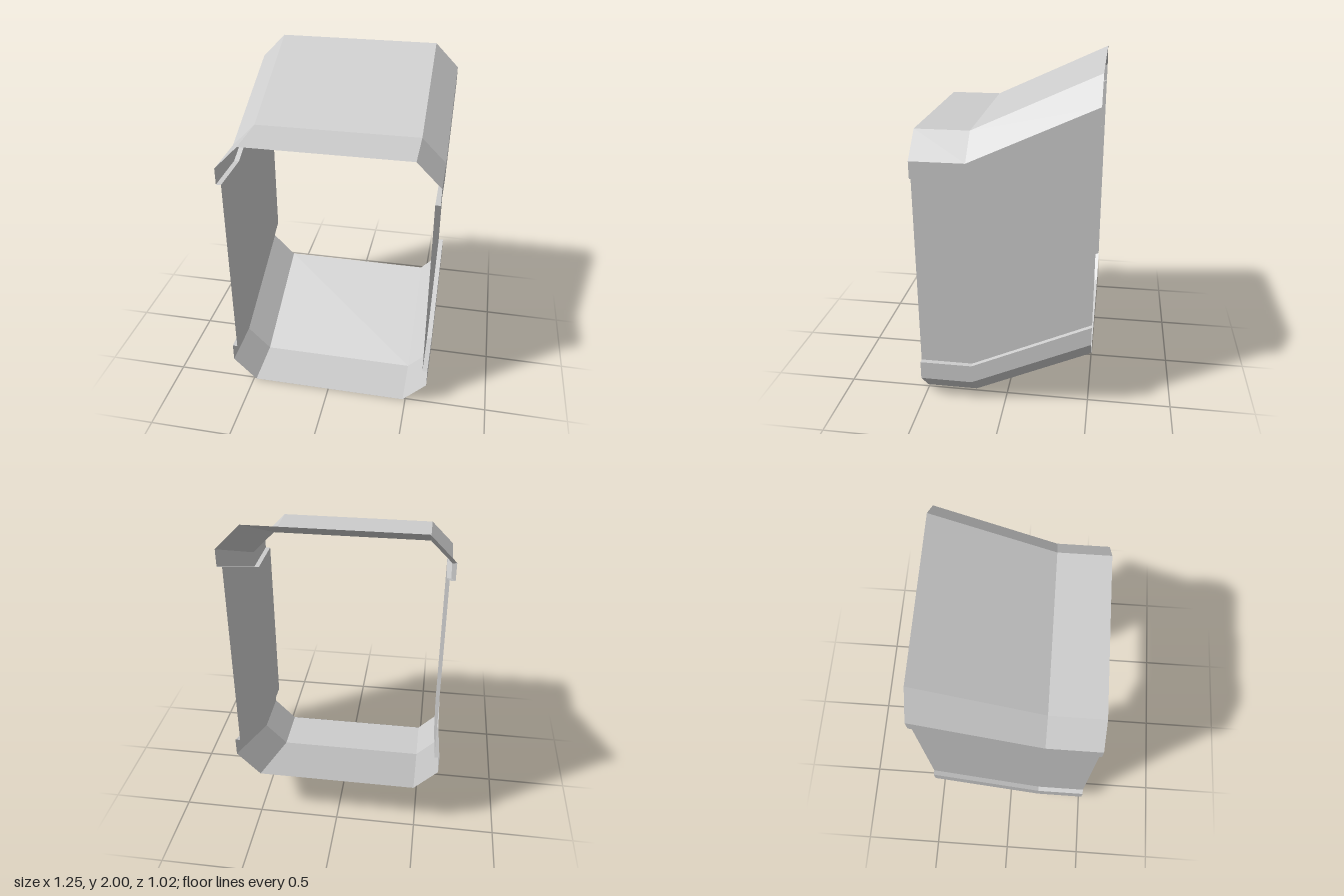
import * as THREE from 'three';

// Stations along the depth: [z, lift]; flat at the front, then rising to the back
const STATIONS = [[0.51, 0], [0.197, 0], [-0.51, 0.327]];

// Sweep an open cross-section (counter-clockwise seen from the front) through the stations
function sweep(section) {
  const pos = [];
  for (let i = 0; i < section.length - 1; i++) {
    for (let s = 0; s < STATIONS.length - 1; s++) {
      const at = ([x, y], [z, lift]) => [x, y + lift, z];
      const a = at(section[i], STATIONS[s]);
      const b = at(section[i + 1], STATIONS[s]);
      const c = at(section[i + 1], STATIONS[s + 1]);
      const d = at(section[i], STATIONS[s + 1]);
      pos.push(...a, ...d, ...b, ...b, ...d, ...c);
    }
  }
  const geometry = new THREE.BufferGeometry();
  geometry.setAttribute('position', new THREE.Float32BufferAttribute(pos, 3));
  geometry.computeVertexNormals();
  return geometry;
}

export function createModel() {
  const model = new THREE.Group();
  model.name = 'bentTunnelShell';

  const lightGrey = new THREE.MeshStandardMaterial({
    color: 0xcccccc, side: THREE.DoubleSide, flatShading: true,
  });
  lightGrey.name = 'lightGrey';

  const outer = 0.626, inner = 0.596, flat = 0.484;
  const low = 0.26, high = 1.43; // heights of the ledges at the front

  const add = (name, section) => {
    const mesh = new THREE.Mesh(sweep(section), lightGrey);
    mesh.name = name;
    model.add(mesh);
  };

  // Floor with chamfers, short lips and inward ledges
  add('floor', [
    [-inner, low], [-outer, low], [-outer, 0.147], [-flat, 0],
    [flat, 0], [outer, 0.147], [outer, low], [inner, low],
  ]);

  // Roof with the matching chamfers, lips and ledges
  add('roof', [
    [inner, high], [outer, high], [outer, 1.53], [flat, 1.673],
    [-flat, 1.673], [-outer, 1.53], [-outer, high], [-inner, high],
  ]);

  // Inset side walls
  add('leftWall', [[inner, low], [inner, high]]);
  add('rightWall', [[-inner, high], [-inner, low]]);

  return model;
}
